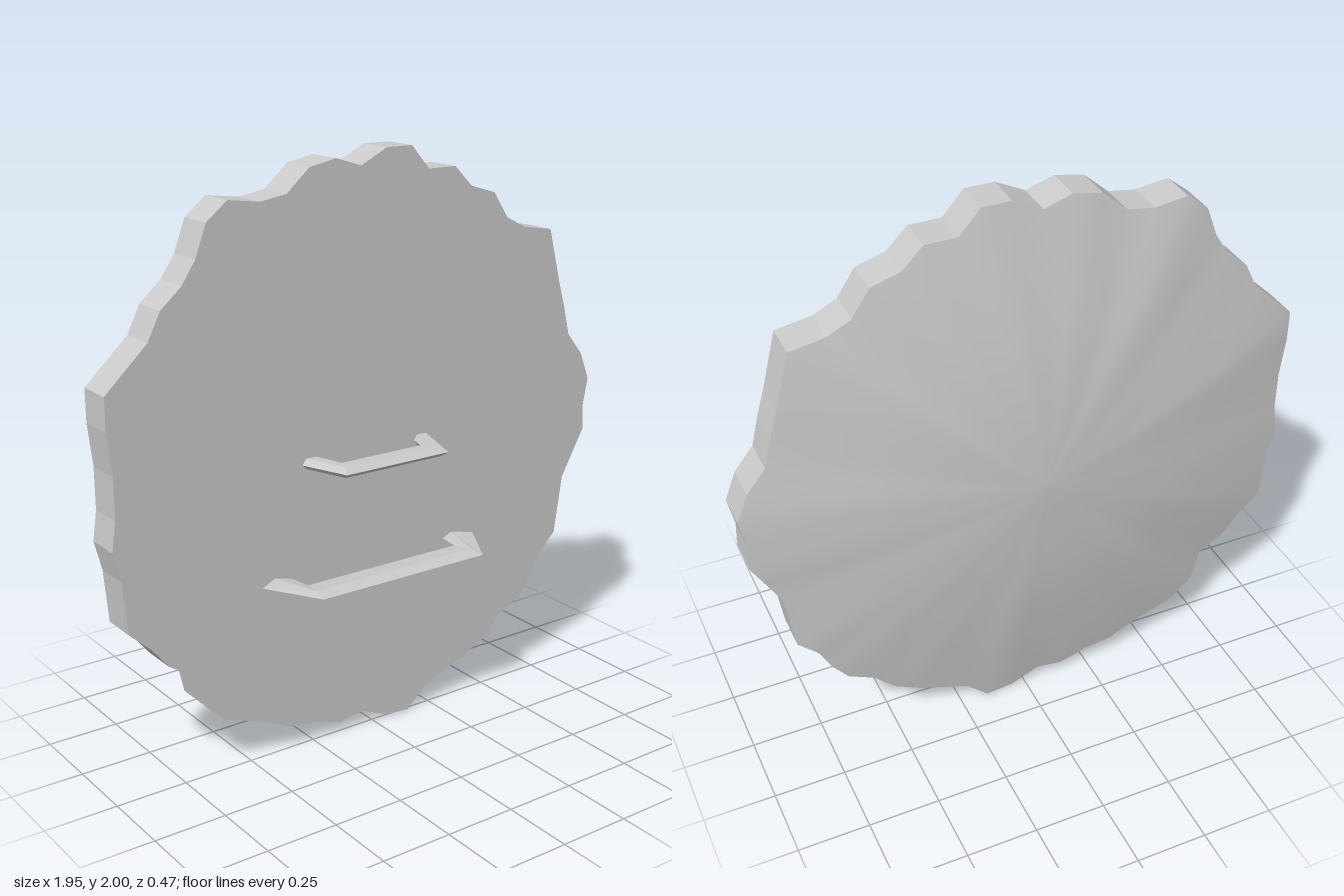
import * as THREE from 'three';

// Ragged rim, clockwise seen from the front
const OUTLINE = [
  [0.05, 2], [0.15, 2], [0.22, 1.92], [0.33, 1.92], [0.4, 1.85], [0.5, 1.82], [0.56, 1.73], [0.64, 1.69],
  [0.76, 1.67], [0.81, 1.48], [0.84, 1.38], [0.865, 1.28], [0.93, 1.2], [0.97, 1.1], [0.95, 1], [0.955, 0.91],
  [0.91, 0.83], [0.86, 0.74], [0.83, 0.53], [0.76, 0.46], [0.72, 0.38], [0.665, 0.31], [0.575, 0.265],
  [0.5, 0.19], [0.405, 0.14], [0.23, 0.075], [0.15, 0], [0.05, 0.01], [-0.05, 0.055], [-0.145, 0.04],
  [-0.245, 0.07], [-0.35, 0.085], [-0.44, 0.13], [-0.605, 0.19], [-0.68, 0.265], [-0.705, 0.375],
  [-0.8, 0.435], [-0.86, 0.51], [-0.935, 0.58], [-0.95, 0.76], [-0.975, 0.86], [-0.96, 0.96], [-0.96, 1.1],
  [-0.975, 1.24], [-0.975, 1.35], [-0.825, 1.49], [-0.78, 1.58], [-0.705, 1.645], [-0.655, 1.72],
  [-0.615, 1.825], [-0.54, 1.885], [-0.425, 1.87], [-0.33, 1.885], [-0.245, 1.96], [-0.145, 1.98], [-0.05, 1.95],
];
const FRONT_Z = 0.013, RIM_Z = -0.115, CENTRE = [-0.02, 1];

// Skin a row of closed loops of [x, y, z]; smooth or faceted, optionally capped
function loft(loops, { smooth = false, caps = false } = {}) {
  const n = loops[0].length, index = [];
  for (let s = 0; s < loops.length - 1; s++) {
    for (let i = 0; i < n; i++) {
      const j = (i + 1) % n, a = s * n, b = a + n;
      index.push(a + i, a + j, b + i, a + j, b + j, b + i);
    }
  }
  if (caps) {
    const e = (loops.length - 1) * n;
    for (let i = 1; i < n - 1; i++) index.push(0, i + 1, i, e, e + i, e + i + 1);
  }
  let geo = new THREE.BufferGeometry();
  geo.setAttribute('position', new THREE.Float32BufferAttribute(loops.flat(2), 3));
  geo.setIndex(index);
  if (!smooth) geo = geo.toNonIndexed();
  geo.computeVertexNormals();
  return geo;
}

// Outline scaled about the centre and set at a depth
const ring = (scale, z) => OUTLINE.map(([x, y]) => [
  CENTRE[0] + (x - CENTRE[0]) * scale, CENTRE[1] + (y - CENTRE[1]) * scale, z,
]);

// Grip bar: half-profile stations of [inner, inner ridge, outer ridge, outer] as [x, z], mirrored in x
function gripGeometry(cx, y, h, end, corner) {
  const section = (pts, side) => {
    const p = (k, dy) => [cx + side * pts[k][0], y + dy, pts[k][1]];
    return [p(0, 0), p(1, h), p(2, h), p(3, 0), p(2, -h), p(1, -h)];
  };
  return loft([section(end, -1), section(corner, -1), section(corner, 1), section(end, 1)], { caps: true });
}

export function createModel() {
  const group = new THREE.Group();
  const grey = new THREE.MeshStandardMaterial({ color: 0xcacaca });
  grey.name = 'plain grey';
  const add = (name, geo) => {
    const mesh = new THREE.Mesh(geo, grey);
    mesh.name = name;
    group.add(mesh);
  };

  // Flat inner face with the grips
  const face = new THREE.ShapeGeometry(new THREE.Shape(OUTLINE.map(([x, y]) => new THREE.Vector2(x, y))));
  face.translate(0, 0, FRONT_Z);
  add('flatFace', face);

  // Faceted edge and shallow domed back
  add('rim', loft([ring(1, FRONT_Z), ring(1, RIM_Z)]));
  add('domedBack', loft([ring(1, RIM_Z), ring(0.67, -0.18), ring(0.34, -0.222), ring(0.001, -0.235)], { smooth: true }));

  // Short upper grip and wide, thin lower grip
  add('upperGrip', gripGeometry(-0.025, 1.008, 0.018,
    [[0.195, 0.0], [0.21, 0.0], [0.245, 0.01], [0.265, 0.02]],
    [[0.17, 0.09], [0.177, 0.115], [0.193, 0.16], [0.205, 0.185]]));
  add('lowerGrip', gripGeometry(-0.028, 0.63, 0.008,
    [[0.315, 0.03], [0.365, 0.01], [0.37, 0.01], [0.4375, 0.043]],
    [[0.305, 0.105], [0.318, 0.175], [0.32, 0.18], [0.328, 0.232]]));

  return group;
}
